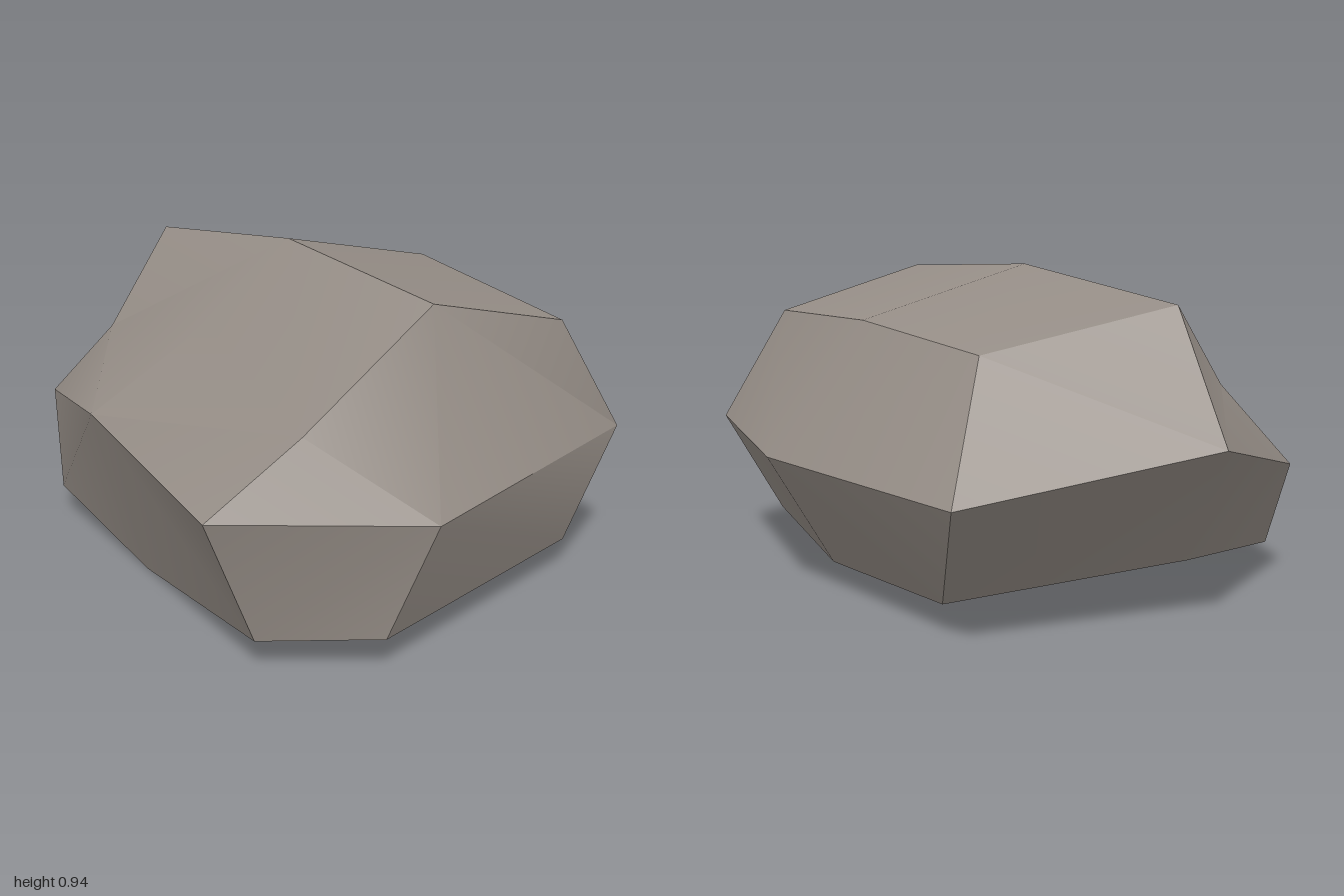
import * as THREE from 'three';
import { toCreasedNormals } from 'three/addons/utils/BufferGeometryUtils.js';

// Three eight-sided cross-sections of the boulder, each running back, +x side, front, -x side
const LOWER = [
  [-0.42, 0.09, -0.69], [0.23, 0.05, -0.6], [0.79, 0.09, -0.43], [0.89, 0.09, 0.43],
  [0.67, 0.09, 0.69], [-0.03, 0, 0.51], [-0.58, 0.09, 0.44], [-0.68, 0.14, -0.02],
];
const MIDDLE = [
  [-0.69, 0.42, -0.87], [0.16, 0.42, -0.86], [0.83, 0.42, -0.61], [1, 0.42, 0.36],
  [0.69, 0.47, 0.87], [-0.03, 0.53, 0.69], [-0.73, 0.37, 0.36], [-1, 0.53, -0.23],
];
const UPPER = [
  [-0.47, 0.75, -0.6], [0, 0.805, -0.635], [0.74, 0.76, -0.43], [0.7, 0.885, 0.08],
  [0.74, 0.64, 0.59], [-0.08, 0.7, 0.23], [-0.57, 0.6, 0.23], [-0.7, 0.865, -0.1],
];
const PEAK = [-0.02, 0.935, -0.05];
const BASE = [0, 0, 0.15];

const distance = (a, b) => Math.hypot(a[0] - b[0], a[1] - b[1], a[2] - b[2]);

function boulderGeometry() {
  const positions = [];
  const triangle = (a, b, c) => positions.push(...a, ...b, ...c);

  // Split each side facet along its shorter diagonal
  const quad = (a, b, c, d) => {
    if (distance(a, c) < distance(b, d)) {
      triangle(a, b, c);
      triangle(a, c, d);
    } else {
      triangle(a, b, d);
      triangle(b, c, d);
    }
  };

  for (let i = 0; i < 8; i++) {
    const j = (i + 1) % 8;
    triangle(BASE, LOWER[i], LOWER[j]);
    quad(LOWER[j], LOWER[i], MIDDLE[i], MIDDLE[j]);
    quad(MIDDLE[j], MIDDLE[i], UPPER[i], UPPER[j]);
    triangle(PEAK, UPPER[j], UPPER[i]);
  }

  const geometry = new THREE.BufferGeometry();
  geometry.setAttribute('position', new THREE.Float32BufferAttribute(positions, 3));
  // Soft shading over gentle bends, hard edges at the ridges
  return toCreasedNormals(geometry, 0.5);
}

export function createModel() {
  const group = new THREE.Group();
  group.name = 'rock';

  const stone = new THREE.MeshStandardMaterial({ color: 0x958d86 });
  stone.name = 'stone';

  const boulder = new THREE.Mesh(boulderGeometry(), stone);
  boulder.name = 'boulder';
  group.add(boulder);
  return group;
}
